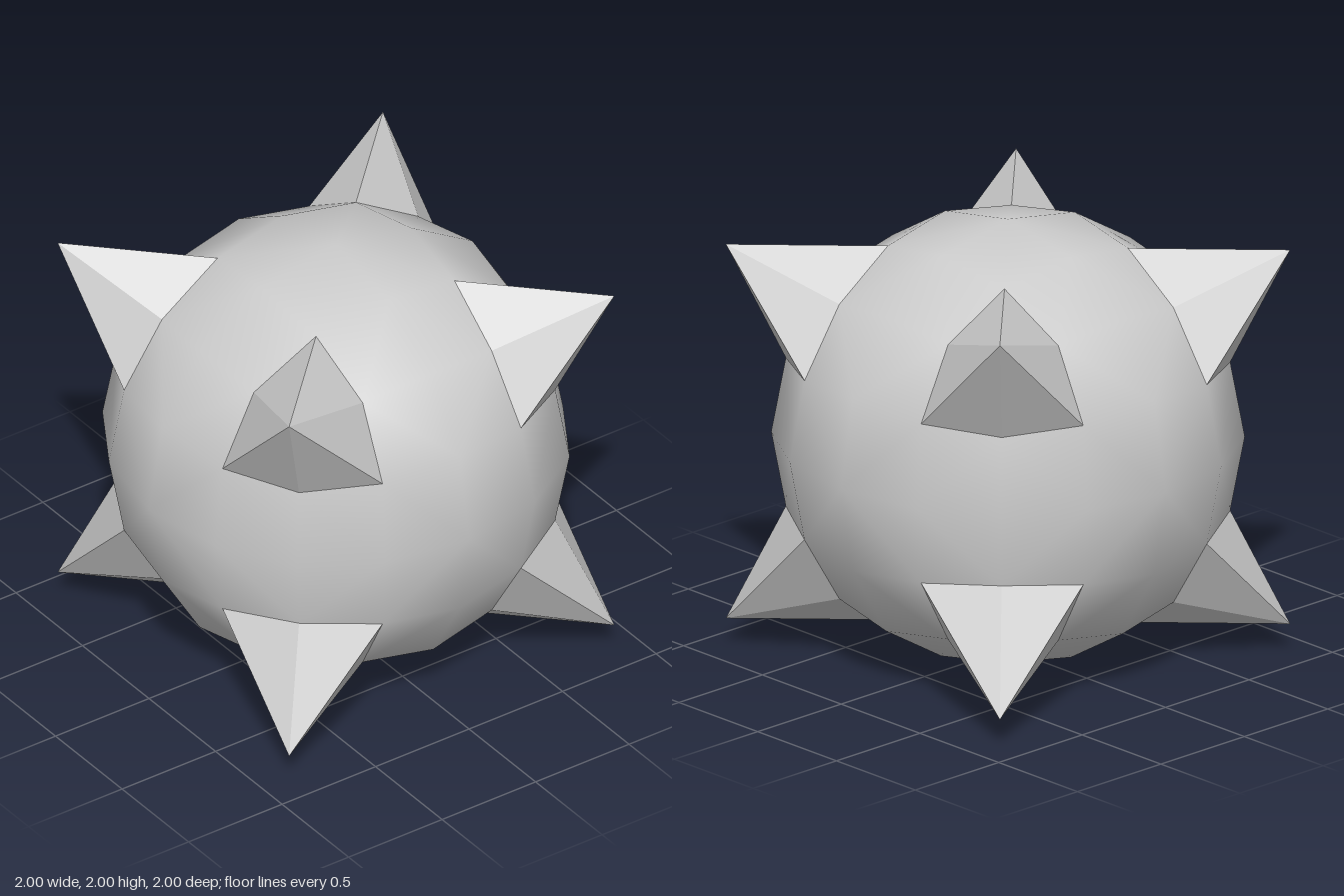
import * as THREE from 'three';
import { mergeVertices } from 'three/addons/utils/BufferGeometryUtils.js';

// Rounded cube: each lattice point (coordinates -2..2) is placed by its symmetry
// class, which gives a distance for every lattice coordinate 0, 1, 2.
const PLACES = {
  '002': [0, 0, 1],         // face centre
  '012': [0, 0.4, 0.93],    // face cross
  '112': [0, 0.37, 0.87],   // face diagonal
  '022': [0, 0, 0.73],      // edge middle
  '122': [0, 0.345, 0.685], // edge quarter
  '222': [0, 0, 0.87],      // corner, pulled out into a spike
};

function place(p) {
  const key = p.map(Math.abs).sort().join('');
  return p.map((c) => Math.sign(c) * PLACES[key][Math.abs(c)]);
}

function makeGeometry(points) {
  const g = new THREE.BufferGeometry();
  g.setAttribute('position', new THREE.Float32BufferAttribute(points, 3));
  return g;
}

export function createModel() {
  const model = new THREE.Group();
  model.name = 'spikedBall';
  const ball = [];
  const spikes = new Map();

  for (let axis = 0; axis < 3; axis++) {
    for (const side of [-1, 1]) {
      for (let a = -2; a < 2; a++) {
        for (let b = -2; b < 2; b++) {
          const at = (u, v) => {
            const p = [0, 0, 0];
            p[axis] = 2 * side;
            p[(axis + 1) % 3] = u;
            p[(axis + 2) % 3] = v;
            return place(p);
          };
          const quad = [at(a, b), at(a + 1, b), at(a + 1, b + 1), at(a, b + 1)];
          // Diagonals run from the face centre towards the corners
          let order = (a < 0) === (b < 0) ? [0, 1, 2, 0, 2, 3] : [1, 2, 3, 1, 3, 0];
          if (side < 0) order = order.reverse();

          // The quads touching a cube corner belong to that corner's spike
          let target = ball;
          if ((a === -2 || a === 1) && (b === -2 || b === 1)) {
            const octant = quad[0].map((c) => Math.sign(c)).join();
            if (!spikes.has(octant)) spikes.set(octant, []);
            target = spikes.get(octant);
          }
          for (const i of order) target.push(...quad[i]);
        }
      }
    }
  }

  // Smooth ball
  const ballGeometry = mergeVertices(makeGeometry(ball), 1e-4);
  ballGeometry.computeVertexNormals();
  const ballMesh = new THREE.Mesh(
    ballGeometry,
    new THREE.MeshStandardMaterial({ color: 0xcccccc })
  );
  ballMesh.name = 'ball';
  model.add(ballMesh);

  // Eight sharp corner spikes
  const spikeMaterial = new THREE.MeshStandardMaterial({ color: 0xcccccc, flatShading: true });
  let n = 1;
  for (const points of spikes.values()) {
    const geometry = makeGeometry(points);
    geometry.computeVertexNormals();
    const spike = new THREE.Mesh(geometry, spikeMaterial);
    spike.name = `spike${n++}`;
    model.add(spike);
  }

  // Stand the ball on the ground
  for (const mesh of model.children) mesh.position.y = 1;
  return model;
}
